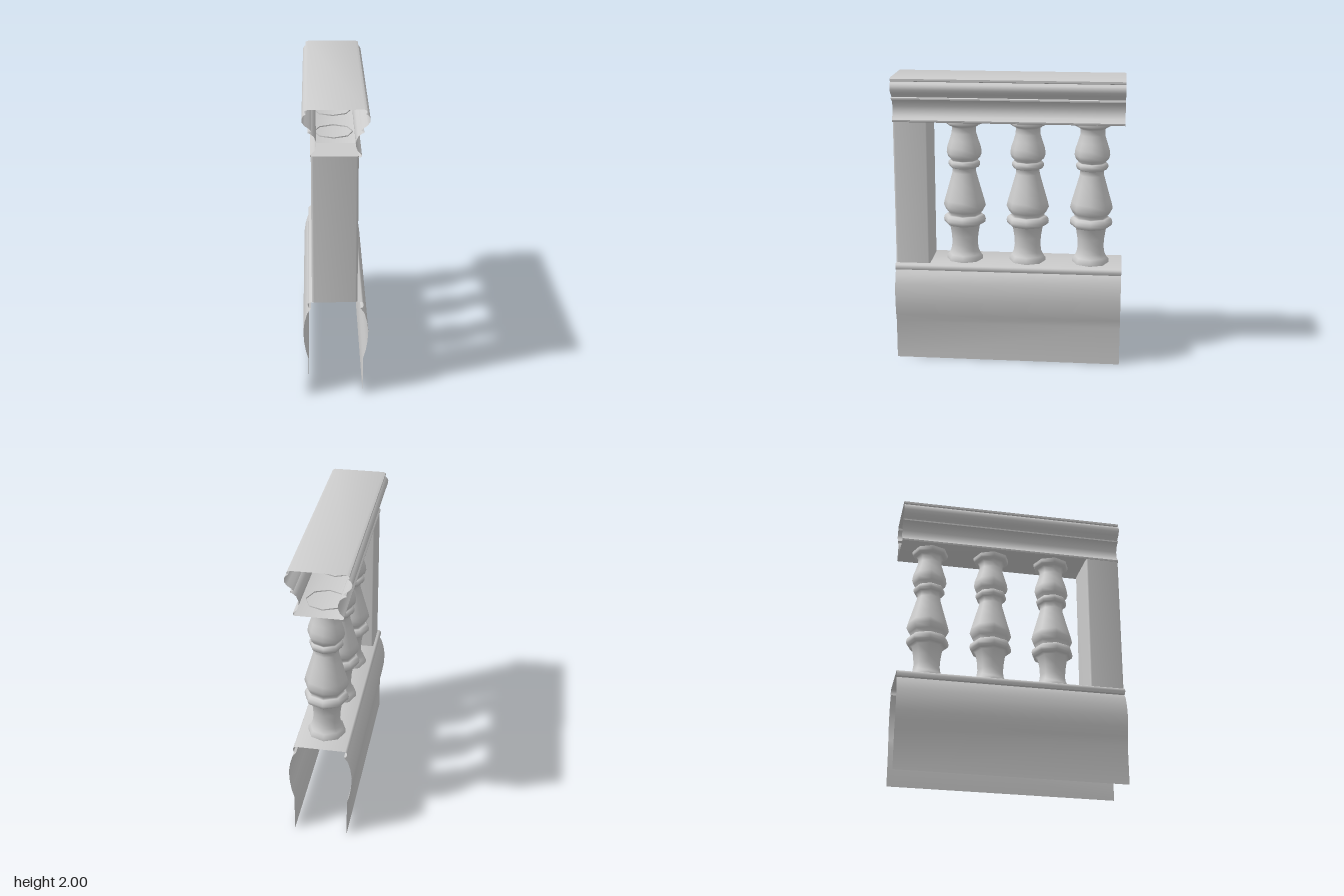
import * as THREE from 'three';
import { toCreasedNormals } from 'three/addons/utils/BufferGeometryUtils.js';

const HALF_LENGTH = 0.785;
const CENTRE_X = -0.007;
const grey = new THREE.MeshStandardMaterial({ color: 0xcccccc, side: THREE.DoubleSide });

function part(geometry, name) {
  const mesh = new THREE.Mesh(geometry, grey);
  mesh.name = name;
  return mesh;
}

// Sweeps an outline of [x, y] points straight along z, with open ends.
function moulding(outline, name) {
  const plane = new THREE.PlaneGeometry(1, 1, outline.length - 1, 1);
  const pos = plane.attributes.position;
  for (let i = 0; i < pos.count; i++) {
    const [x, y] = outline[i % outline.length];
    pos.setXYZ(i, x, y, i < outline.length ? -HALF_LENGTH : HALF_LENGTH);
  }
  return part(toCreasedNormals(plane, 0.7), name);
}

// Mirrors the right-hand half of a profile (bottom to top) to run up one side and down the other.
const mirrored = (half) => [...half, ...half.map(([x, y]) => [-x, y]).reverse()];

// Plinth: straight foot, swelling side and a bead under the flat top.
const plinthHalf = [
  [0.18, 0], [0.18, 0.27], [0.197, 0.33], [0.208, 0.4], [0.213, 0.48],
  [0.203, 0.55], [0.186, 0.61], [0.16, 0.648], [0.175, 0.652],
  [0.182, 0.67], [0.177, 0.686], [0.168, 0.693],
];

// Handrail: lower bead, hollow, fillet, rounded nose and top bead.
const handrailHalf = [
  [0.148, 1.692], [0.157, 1.697], [0.159, 1.708], [0.152, 1.716],
  [0.133, 1.735], [0.122, 1.765], [0.122, 1.795], [0.135, 1.828], [0.16, 1.848],
  [0.172, 1.851], [0.172, 1.861], [0.152, 1.864],
  [0.165, 1.88], [0.192, 1.898], [0.207, 1.92], [0.209, 1.942], [0.2, 1.96],
  [0.182, 1.973], [0.19, 1.978], [0.19, 1.992], [0.172, 2],
];

// Turned baluster profile as [radius, height].
const balusterProfile = [
  [0.127, 0.69], [0.127, 0.718], [0.112, 0.735], [0.097, 0.765], [0.09, 0.81],
  [0.094, 0.87], [0.106, 0.945], [0.128, 0.952], [0.144, 0.965], [0.148, 0.985],
  [0.142, 1.008], [0.126, 1.02], [0.11, 1.023], [0.13, 1.05], [0.148, 1.085],
  [0.139, 1.125], [0.12, 1.19], [0.1, 1.26], [0.083, 1.32], [0.08, 1.355],
  [0.1, 1.358], [0.11, 1.375], [0.111, 1.393], [0.1, 1.407], [0.092, 1.41],
  [0.112, 1.43], [0.122, 1.46], [0.117, 1.5], [0.1, 1.55], [0.085, 1.6],
  [0.084, 1.638], [0.1, 1.652], [0.121, 1.66], [0.127, 1.675], [0.127, 1.7],
];

// Upright end post with softly rounded vertical corners.
function postGeometry(width, depth, height, r) {
  const w = width / 2, d = depth / 2;
  const shape = new THREE.Shape();
  shape.moveTo(-w + r, -d);
  shape.lineTo(w - r, -d).quadraticCurveTo(w, -d, w, -d + r);
  shape.lineTo(w, d - r).quadraticCurveTo(w, d, w - r, d);
  shape.lineTo(-w + r, d).quadraticCurveTo(-w, d, -w, d - r);
  shape.lineTo(-w, -d + r).quadraticCurveTo(-w, -d, -w + r, -d);
  const geometry = new THREE.ExtrudeGeometry(shape, { depth: height, bevelEnabled: false, curveSegments: 3 });
  geometry.rotateX(-Math.PI / 2);
  return toCreasedNormals(geometry, 0.8);
}

export function createModel() {
  const model = new THREE.Group();
  model.name = 'balustrade';

  const handrail = mirrored(handrailHalf);
  handrail.push(handrail[0]); // closes the underside
  model.add(moulding(mirrored(plinthHalf), 'plinth'), moulding(handrail, 'handrail'));

  const post = part(postGeometry(0.295, 0.24, 1.008, 0.015), 'endPost');
  post.position.set(CENTRE_X, 0.692, 0.665);
  model.add(post);

  const balusterGeometry = new THREE.LatheGeometry(
    balusterProfile.map(([r, y]) => new THREE.Vector2(r, y)), 8);
  for (const z of [0.317, -0.125, -0.567]) {
    const baluster = part(balusterGeometry, 'baluster');
    baluster.position.set(CENTRE_X, 0, z);
    model.add(baluster);
  }
  return model;
}
